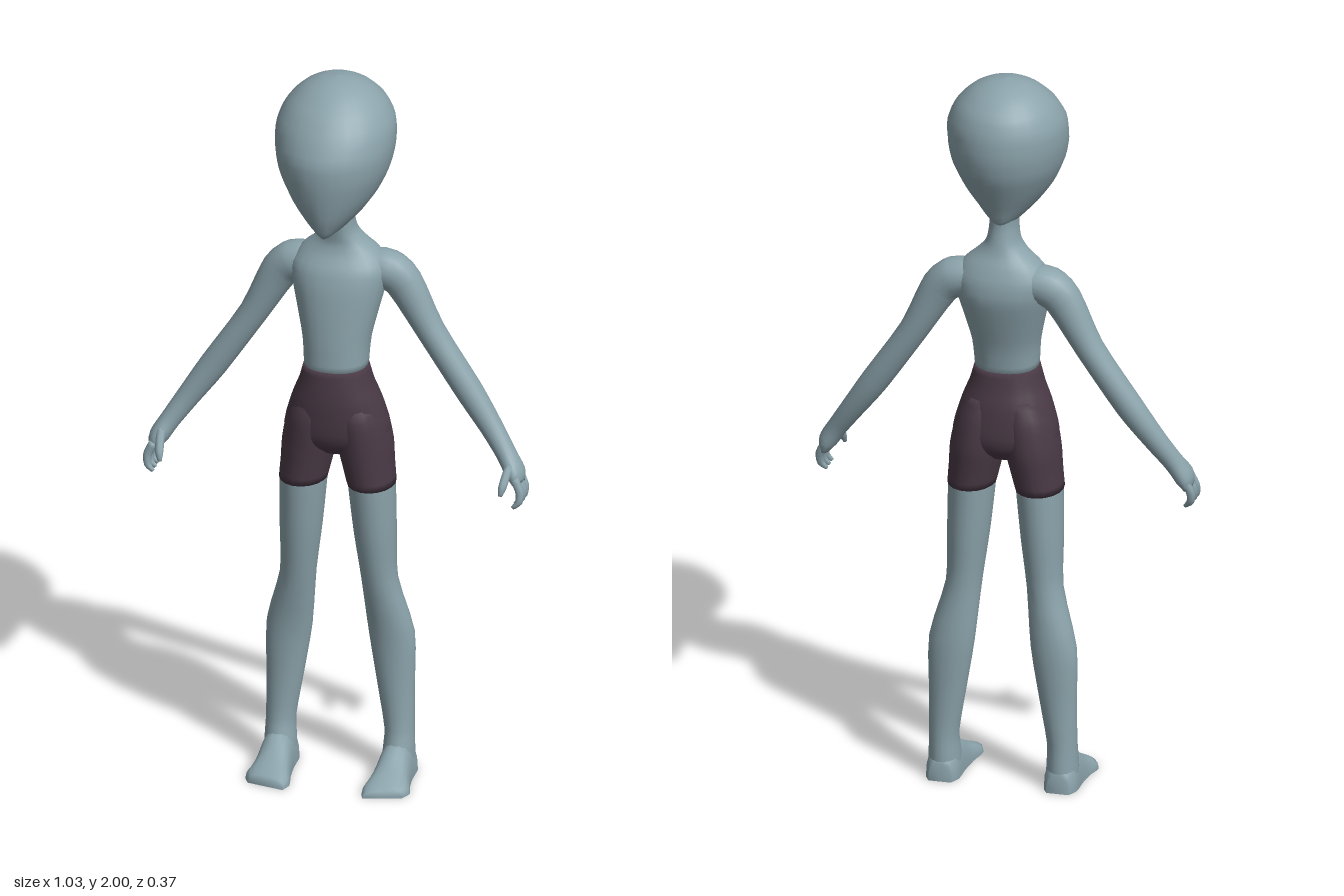
import * as THREE from 'three';

const skin = new THREE.MeshStandardMaterial({ color: 0x8ba3ab, roughness: 0.8 });
const cloth = new THREE.MeshStandardMaterial({ color: 0x4a3a46, roughness: 0.9 });
const X = new THREE.Vector3(1, 0, 0), Y = new THREE.Vector3(0, 1, 0), Z = new THREE.Vector3(0, 0, 1);

// Smooth skin over elliptical stations [x, y, z, halfWidth, halfDepth].
// dir fixes the plane of every ring; without it rings follow the path.
function loft(stations, { dir = null, ref = Z, seg = 18, sub = 3, power = 1 } = {}) {
  const path = new THREE.CatmullRomCurve3(stations.map(s => new THREE.Vector3(s[0], s[1], s[2])), false, 'catmullrom', 0.4);
  const size = new THREE.CatmullRomCurve3(stations.map(s => new THREE.Vector3(s[3], s[4], 0)), false, 'catmullrom', 0.4);
  const n = (stations.length - 1) * sub, pos = [], idx = [];
  const bend = v => Math.sign(v) * Math.pow(Math.abs(v), power);
  for (let i = 0; i <= n; i++) {
    const c = path.getPoint(i / n), r = size.getPoint(i / n);
    const w = dir || path.getTangent(i / n);
    const u = ref.clone().cross(w).normalize(), v = w.clone().cross(u);
    for (let j = 0; j < seg; j++) {
      const t = j / seg * Math.PI * 2;
      const p = c.clone().addScaledVector(u, r.x * bend(Math.cos(t))).addScaledVector(v, r.y * bend(Math.sin(t)));
      pos.push(p.x, p.y, p.z);
      if (i < n) {
        const a = i * seg + j, b = i * seg + (j + 1) % seg;
        idx.push(a, b, b + seg, a, b + seg, a + seg);
      }
    }
  }
  // End caps
  for (const [ring, flip] of [[0, true], [n, false]]) {
    const c = path.getPoint(ring / n), k = pos.length / 3;
    pos.push(c.x, c.y, c.z);
    for (let j = 0; j < seg; j++) {
      const a = ring * seg + j, b = ring * seg + (j + 1) % seg;
      flip ? idx.push(k, b, a) : idx.push(k, a, b);
    }
  }
  const g = new THREE.BufferGeometry();
  g.setAttribute('position', new THREE.Float32BufferAttribute(pos, 3));
  g.setIndex(idx);
  g.computeVertexNormals();
  return g;
}

// Level rings given as [y, centreX, halfWidth, frontZ, backZ]
const upright = (rows, opts = {}) => loft(
  rows.map(([y, x, a, f, b]) => [x, y, (f + b) / 2, a, (f - b) / 2]),
  { dir: Y.clone().multiplyScalar(Math.sign(rows[rows.length - 1][0] - rows[0][0])), ...opts });

function mirrored(geo) {
  const g = geo.clone().scale(-1, 1, 1), ix = g.index.array;
  for (let i = 0; i < ix.length; i += 3) [ix[i + 1], ix[i + 2]] = [ix[i + 2], ix[i + 1]];
  g.computeVertexNormals();
  return g;
}

export function createModel() {
  const model = new THREE.Group();
  const add = (name, geo, mat = skin) => {
    const m = new THREE.Mesh(geo, mat);
    m.name = name;
    model.add(m);
  };
  const pair = (name, geo, mat) => {
    add(name + 'Left', geo, mat);
    add(name + 'Right', mirrored(geo), mat);
  };

  // Large skull narrowing to the chin
  add('head', upright([
    [1.594, 0, 0.02, 0.135, -0.07], [1.61, 0, 0.045, 0.15, -0.1], [1.65, 0, 0.083, 0.166, -0.118],
    [1.7, 0, 0.118, 0.178, -0.142], [1.76, 0, 0.146, 0.187, -0.17], [1.82, 0, 0.158, 0.186, -0.182],
    [1.88, 0, 0.156, 0.158, -0.178], [1.93, 0, 0.132, 0.12, -0.158], [1.97, 0, 0.092, 0.07, -0.115],
    [1.992, 0, 0.048, 0.025, -0.07], [2, 0, 0.003, -0.017, -0.023],
  ], { seg: 28 }));

  // Torso, sloping shoulders and neck
  add('torso', upright([
    [1.17, 0, 0.084, 0.072, -0.088], [1.25, 0, 0.09, 0.068, -0.1], [1.33, 0, 0.108, 0.06, -0.124],
    [1.4, 0, 0.125, 0.05, -0.143], [1.45, 0, 0.13, 0.035, -0.14], [1.49, 0, 0.105, 0.012, -0.126],
    [1.52, 0, 0.07, 0.004, -0.112], [1.55, 0, 0.045, 0.008, -0.104], [1.6, 0, 0.037, 0.015, -0.096],
    [1.66, 0, 0.04, 0, -0.1],
  ], { seg: 24, power: 0.9 }));

  // Shorts: hips and two short legs
  add('shortsHips', upright([
    [0.93, 0, 0.05, 0.03, -0.08], [0.96, 0, 0.125, 0.062, -0.108], [1.0, 0, 0.142, 0.076, -0.118],
    [1.08, 0, 0.12, 0.082, -0.112], [1.13, 0, 0.1, 0.08, -0.1], [1.18, 0, 0.086, 0.075, -0.091],
  ], { seg: 24, power: 0.92 }), cloth);
  pair('shortsLeg', upright([
    [0.84, 0.092, 0.064, 0.061, -0.106], [0.9, 0.082, 0.069, 0.065, -0.113],
    [0.96, 0.073, 0.074, 0.07, -0.12], [1.04, 0.062, 0.068, 0.076, -0.116], [1.1, 0.05, 0.05, 0.06, -0.1],
  ]), cloth);

  // Legs with a knee bulge to the outside
  pair('leg', upright([
    [0.87, 0.09, 0.061, 0.056, -0.102], [0.84, 0.092, 0.062, 0.057, -0.103], [0.7, 0.1, 0.056, 0.042, -0.098],
    [0.56, 0.11, 0.048, 0.018, -0.09], [0.4, 0.138, 0.062, -0.009, -0.101], [0.25, 0.15, 0.05, -0.012, -0.097],
    [0.13, 0.16, 0.04, -0.007, -0.096], [0.07, 0.16, 0.042, 0.008, -0.099], [0.02, 0.16, 0.044, 0.005, -0.1],
  ]));

  // Feet: flat soles, toes swept back toward the outside
  const foot = loft([
    [0.16, 0, -0.102, 0.03, 0.05], [0.16, 0, -0.07, 0.045, 0.09], [0.16, 0, -0.01, 0.046, 0.1],
    [0.16, 0, 0.05, 0.052, 0.062], [0.16, 0, 0.1, 0.062, 0.036], [0.158, 0, 0.134, 0.05, 0.02],
  ], { dir: Z, ref: Y, power: 0.85 });
  const p = foot.attributes.position;
  for (let i = 0; i < p.count; i++) {
    const z = p.getZ(i);
    p.setY(i, Math.max(p.getY(i), 0));
    p.setZ(i, z - Math.max(z, 0) * 1.8 * (p.getX(i) - 0.15));
  }
  foot.computeVertexNormals();
  pair('foot', foot);

  // Arms from inside the shoulder to the palm
  pair('arm', loft([
    [0.07, 1.445, -0.066, 0.045, 0.05], [0.125, 1.435, -0.066, 0.055, 0.053], [0.168, 1.4, -0.068, 0.051, 0.046],
    [0.24, 1.27, -0.068, 0.038, 0.041], [0.345, 1.113, -0.06, 0.037, 0.037], [0.41, 1.02, -0.046, 0.031, 0.031],
    [0.455, 0.955, -0.028, 0.027, 0.03], [0.482, 0.912, -0.015, 0.026, 0.04], [0.492, 0.885, -0.01, 0.015, 0.036],
  ]));

  // Curled fingers and thumb
  for (let i = 0; i < 3; i++) {
    const z = -0.036 + i * 0.027;
    pair('finger' + (i + 1), loft([
      [0.488, 0.905, z, 0.012, 0.013], [0.503, 0.872, z + 0.004, 0.012, 0.012],
      [0.502, 0.845, z + 0.009, 0.01, 0.011], [0.486, 0.828, z + 0.013, 0.005, 0.005],
    ], { seg: 8 }));
  }
  pair('thumb', loft([
    [0.472, 0.935, 0, 0.014, 0.013], [0.468, 0.917, 0.03, 0.013, 0.012],
    [0.464, 0.893, 0.054, 0.011, 0.011], [0.46, 0.872, 0.063, 0.005, 0.005],
  ], { seg: 8, ref: X }));

  return model;
}
